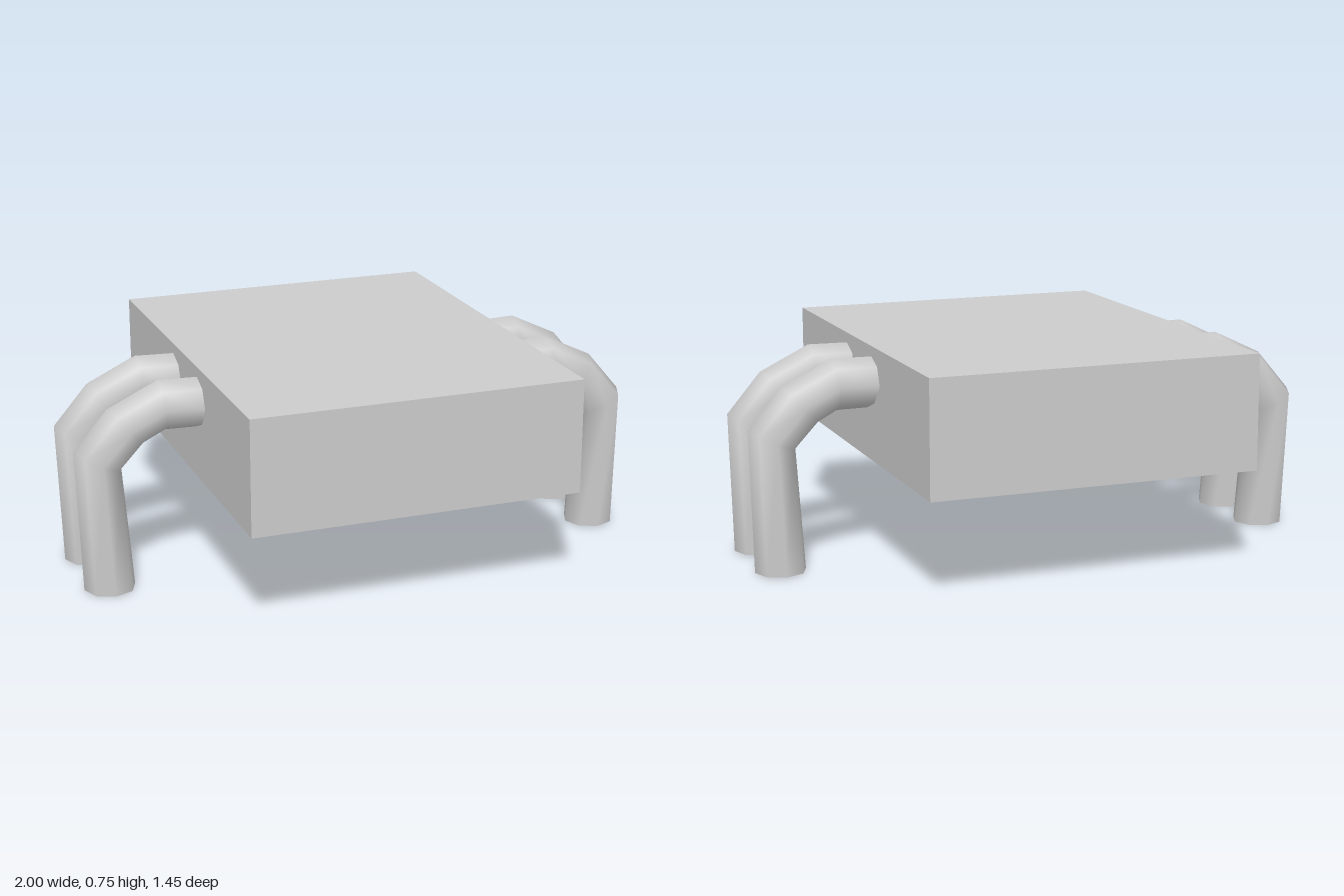
import * as THREE from 'three';

// Pipe centre line: [x, y, z offset] and the direction each ring faces
const STATIONS = [
  { p: [0.90, 0.00, 0.000], t: [0, 1] },
  { p: [0.922, 0.455, -0.012], t: [-0.41, 0.91] },
  { p: [0.823, 0.566, -0.010], t: [-0.72, 0.69] },
  { p: [0.703, 0.625, -0.007], t: [-1, 0.09] },
  { p: [0.568, 0.623, 0.000], t: [-0.98, -0.2] },
];

// Curve that passes straight from station to station, one ring at each
class PipePath extends THREE.Curve {
  constructor(side, z) {
    super();
    this.side = side;
    this.z = z;
  }
  station(u) {
    return STATIONS[Math.round(u * (STATIONS.length - 1))];
  }
  getPointAt(u) {
    const [x, y, dz] = this.station(u).p;
    return new THREE.Vector3(this.side * x, y, this.z + dz);
  }
  getTangentAt(u) {
    const [x, y] = this.station(u).t;
    return new THREE.Vector3(this.side * x, y, 0).normalize();
  }
}

export function createModel() {
  const model = new THREE.Group();
  model.name = 'boxWithBentPipes';

  // Solid rectangular body
  const body = new THREE.Mesh(
    new THREE.BoxGeometry(1.145, 0.395, 1.45),
    new THREE.MeshStandardMaterial({ color: 0xcccccc })
  );
  body.name = 'body';
  body.position.set(-0.003, 0.5475, 0);
  model.add(body);

  // Two open, bent pipes on each side
  const pipeMaterial = new THREE.MeshStandardMaterial({ color: 0xcccccc, side: THREE.DoubleSide });
  for (const side of [1, -1]) {
    for (const [label, z] of [['Front', 0.155], ['Back', -0.13]]) {
      const path = new PipePath(side, z);
      const pipe = new THREE.Mesh(
        new THREE.TubeGeometry(path, STATIONS.length - 1, 0.088, 8, false),
        pipeMaterial
      );
      pipe.name = (side > 0 ? 'left' : 'right') + label + 'Pipe';
      model.add(pipe);
    }
  }
  return model;
}
